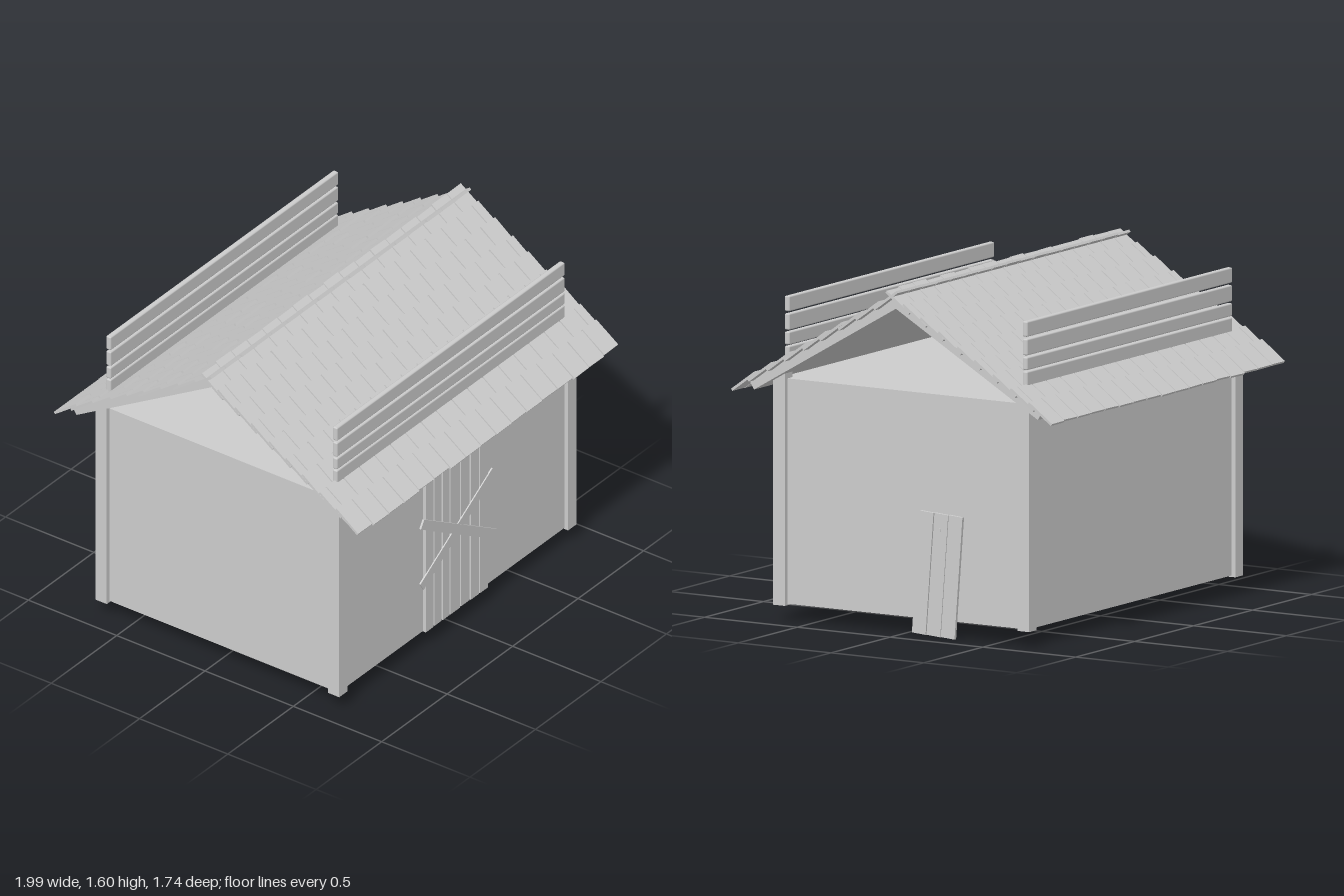
import * as THREE from 'three';
import { mergeGeometries } from 'three/addons/utils/BufferGeometryUtils.js';
import { RoundedBoxGeometry } from 'three/addons/geometries/RoundedBoxGeometry.js';

const grey = new THREE.MeshStandardMaterial({ color: 0xcccccc });
grey.name = 'weatheredGrey';

// small seeded generator, returns -1..1
let seed = 7;
const jitter = () => {
  seed = (seed * 16807) % 2147483647;
  return (seed / 2147483647) * 2 - 1;
};

function add(parent, name, geometry, x = 0, y = 0, z = 0) {
  const mesh = new THREE.Mesh(geometry, grey);
  mesh.name = name;
  mesh.position.set(x, y, z);
  parent.add(mesh);
  return mesh;
}
const box = (w, h, d) => new THREE.BoxGeometry(w, h, d);

// one slope of loose shingles, facing +z
function shingles() {
  const parts = [];
  const pitch = 2 / 17, tilt = 0.63, length = 0.153;
  for (let row = 0; row < 9; row++) {
    const zTop = -0.03 + row * 0.096;
    const yTop = 1.582 - zTop * 0.577;
    const shift = row % 2 ? -pitch / 2 : 0;
    for (let i = 0; i < (row % 2 ? 18 : 17); i++) {
      const x0 = Math.max(-0.995, -1 + shift + i * pitch);
      const x1 = Math.min(0.995, -1 + shift + (i + 1) * pitch);
      const tile = box(x1 - x0 - 0.006, 0.012, length);
      tile.rotateY(jitter() * 0.02);
      tile.rotateX(tilt);
      const slide = jitter() * 0.004;
      tile.translate((x0 + x1) / 2,
        yTop - Math.sin(tilt) * length / 2 - slide * 0.7,
        zTop + Math.cos(tilt) * length / 2 + slide);
      parts.push(tile);
    }
  }
  return mergeGeometries(parts);
}

export function createModel() {
  const model = new THREE.Group();
  model.name = 'boardedShack';

  // closed wall block and corner posts
  add(model, 'walls', box(1.77, 1.04, 1.34), 0, 0.607, 0);
  for (const sx of [-1, 1]) for (const sz of [-1, 1])
    add(model, 'cornerPost', box(0.064, 1.075, 0.064), sx * 0.874, 0.6175, sz * 0.658);

  // roof deck with open gables
  const profile = new THREE.Shape([
    [0, 1.57], [-0.79, 1.114], [-0.765, 1.072], [0, 1.515], [0.765, 1.072], [0.79, 1.114],
  ].map(([x, y]) => new THREE.Vector2(x, y)));
  const deck = new THREE.ExtrudeGeometry(profile, { depth: 1.9, bevelEnabled: false });
  deck.translate(0, 0, -0.95).rotateY(Math.PI / 2);
  add(model, 'roofDeck', deck);

  // shingles on both slopes, crossing at the ridge
  add(model, 'frontShingles', shingles());
  add(model, 'backShingles', shingles()).rotation.y = Math.PI;

  // plank parapets standing on the roof
  for (const sz of [-1, 1]) {
    const parapet = new THREE.Group();
    parapet.name = 'parapet';
    for (const [low, high] of [[1.2, 1.272], [1.278, 1.338], [1.346, 1.422], [1.432, 1.503]])
      add(parapet, 'parapetBoard', new RoundedBoxGeometry(1.74, high - low, 0.028, 1, 0.007),
        -0.004, (low + high) / 2, sz * 0.641);
    model.add(parapet);
  }

  // door planks nailed shut with crossed boards
  const door = new THREE.Group();
  door.name = 'door';
  const edges = [-0.243, -0.178, -0.114, -0.055, 0.025, 0.1, 0.17, 0.241];
  for (let i = 0; i < 7; i++)
    add(door, 'doorPlank', box(edges[i + 1] - edges[i] - 0.008, 0.823 + jitter() * 0.004, 0.02),
      (edges[i] + edges[i + 1]) / 2, 0.497, 0.676);
  add(door, 'crossBoard', box(0.65, 0.048, 0.008), 0, 0.523, 0.688).rotation.z = 0.56;
  add(door, 'crossBoard', box(0.65, 0.048, 0.01), 0, 0.523, 0.692).rotation.z = -0.545;
  model.add(door);

  // crooked board over the door
  add(model, 'lintelBoard', box(0.35, 0.075, 0.016), -0.005, 1.022, 0.677).rotation.z = -0.06;

  // three loose planks leaning on the left wall
  const patch = new THREE.Group();
  patch.name = 'loosePlanks';
  [0.077, -0.002, -0.079].forEach((z, i) =>
    add(patch, 'loosePlank', box(0.014, 0.568, 0.074), 0, [-0.002, 0, 0.002][i], z));
  const nail = new THREE.CylinderGeometry(0.008, 0.008, 0.006, 8).rotateZ(Math.PI / 2);
  add(patch, 'nail', nail, 0.008, 0.21, 0.003);
  patch.position.set(0.894, 0.297, -0.19);
  patch.rotation.x = -0.075;
  model.add(patch);

  return model;
}
